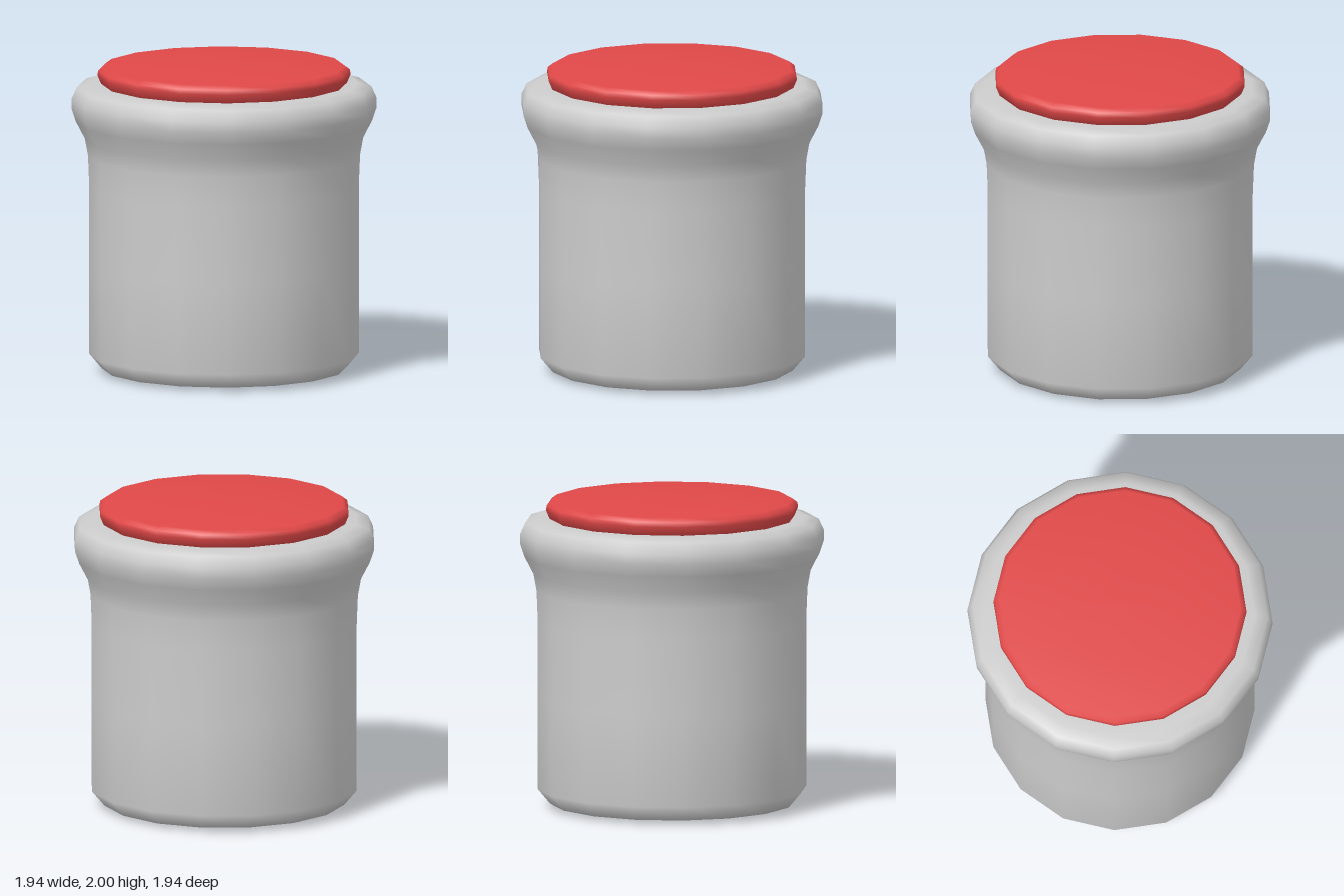
import * as THREE from 'three';

const SIDES = 16;

// Smooth turned part from a bottom-to-top profile of [radius, height]
function turned(name, profile, color) {
  const points = profile.map(([r, y]) => new THREE.Vector2(r, y));
  const mesh = new THREE.Mesh(
    new THREE.LatheGeometry(points, SIDES),
    new THREE.MeshStandardMaterial({ color })
  );
  mesh.name = name;
  return mesh;
}

export function createModel() {
  const group = new THREE.Group();
  group.name = 'jar';

  // Body: slightly domed base, straight wall, flared bulging collar
  group.add(turned('body', [
    [0, 0], [0.4, 0.005], [0.78, 0.025],
    [0.86, 0.12], [0.86, 0.7], [0.86, 1.2], [0.868, 1.4],
    [0.888, 1.51], [0.945, 1.62], [0.972, 1.7], [0.972, 1.77],
    [0.94, 1.84], [0.86, 1.863], [0.74, 1.863],
  ], 0xcccccc));

  // Lid: shallow red cap with a rounded rim, sunk into the collar
  group.add(turned('lid', [
    [0, 1.83], [0.74, 1.83], [0.785, 1.865],
    [0.808, 1.92], [0.803, 1.95], [0.77, 1.975], [0.35, 1.996], [0, 2],
  ], 0xe04848));

  return group;
}
